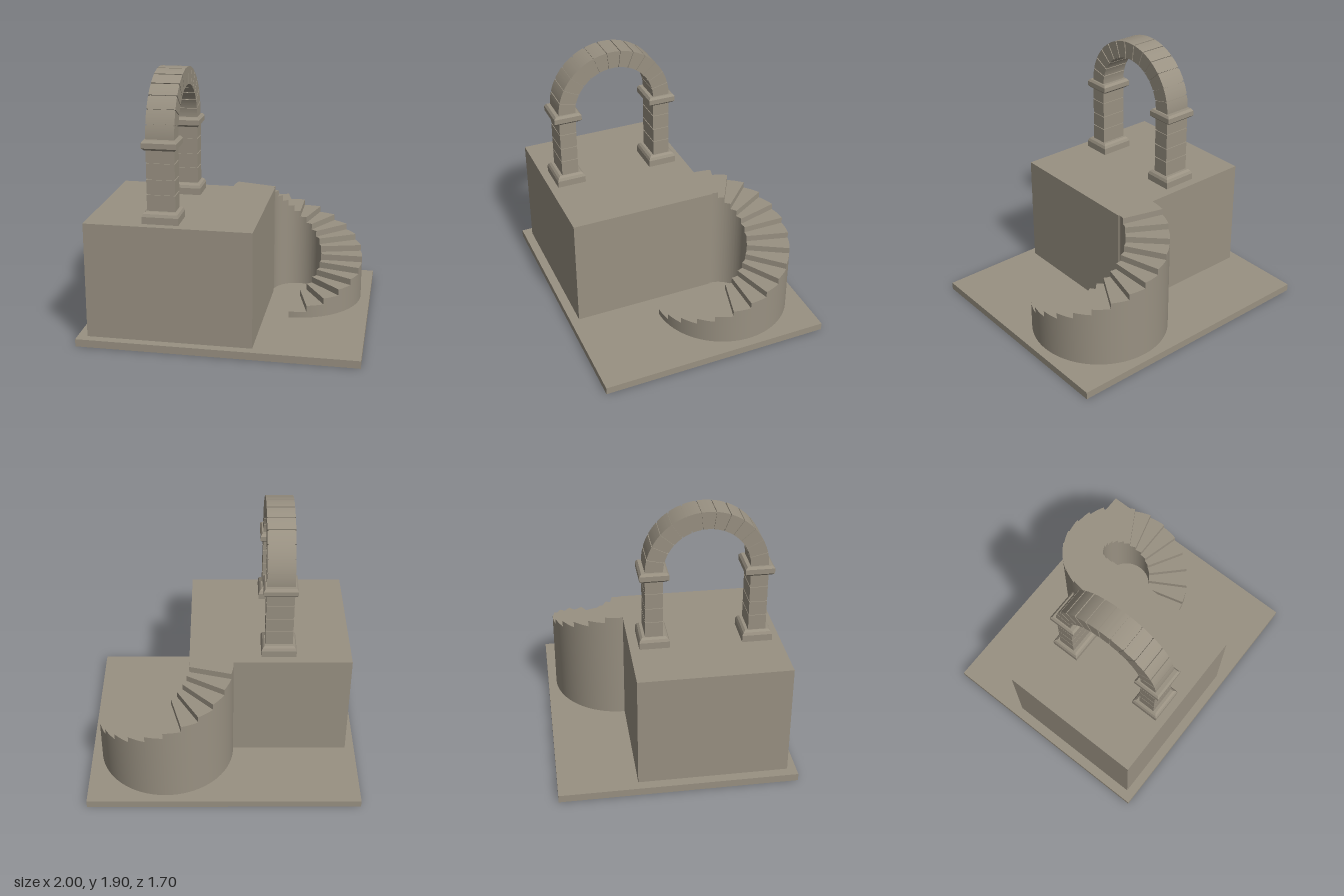
import * as THREE from 'three';
import { toCreasedNormals } from 'three/addons/utils/BufferGeometryUtils.js';

const stone = new THREE.MeshStandardMaterial({ color: 0x999182 });
stone.name = 'warm grey stone';

function add(parent, geometry, name) {
  const mesh = new THREE.Mesh(geometry, stone);
  mesh.name = name;
  parent.add(mesh);
  return mesh;
}

// Box given by its minimum and maximum corners
function box(parent, name, [x0, y0, z0], [x1, y1, z1]) {
  const mesh = add(parent, new THREE.BoxGeometry(x1 - x0, y1 - y0, z1 - z0), name);
  mesh.position.set((x0 + x1) / 2, (y0 + y1) / 2, (z0 + z1) / 2);
  return mesh;
}

// Rectangular moulding from stacked rings [y, half width x, half depth z]
function moulding(rings) {
  const corner = ([y, hx, hz], k) => [[-hx, y, hz], [hx, y, hz], [hx, y, -hz], [-hx, y, -hz]][k % 4];
  const p = [];
  const quad = (a, b, c, d) => p.push(...a, ...b, ...c, ...a, ...c, ...d);
  for (let i = 0; i < rings.length - 1; i++) {
    for (let k = 0; k < 4; k++) {
      quad(corner(rings[i], k), corner(rings[i], k + 1), corner(rings[i + 1], k + 1), corner(rings[i + 1], k));
    }
  }
  const low = rings[0], top = rings[rings.length - 1];
  quad(...[0, 1, 2, 3].map(k => corner(top, k)));
  quad(...[3, 2, 1, 0].map(k => corner(low, k)));
  const g = new THREE.BufferGeometry();
  g.setAttribute('position', new THREE.Float32BufferAttribute(p, 3));
  g.computeVertexNormals();
  return g;
}

// Extruded ring sector between two radii and two angles
function sector(r0, r1, a0, a1, depth, segments) {
  const s = new THREE.Shape();
  s.absarc(0, 0, r1, a0, a1, false);
  s.absarc(0, 0, r0, a1, a0, true);
  const g = new THREE.ExtrudeGeometry(s, { depth, bevelEnabled: false, curveSegments: segments });
  return toCreasedNormals(g, 0.4);
}

export function createModel() {
  const model = new THREE.Group();
  model.name = 'stoneArchAndStair';
  const FLOOR = 0.055, DECK = 0.895;

  box(model, 'groundSlab', [-1, 0, -0.85], [1, FLOOR, 0.85]);
  box(model, 'platform', [-0.93, FLOOR, -0.286], [0.25, DECK, 0.785]);

  // Curved stair: eighteen solid steps over three quarters of a turn
  const stair = new THREE.Group();
  stair.name = 'curvedStair';
  stair.position.set(0.43, FLOOR, -0.286);
  model.add(stair);
  const STEPS = 18, turn = Math.PI / 12, rise = (DECK - FLOOR) / STEPS;
  for (let i = 0; i < STEPS; i++) {
    const a = -Math.PI / 2 + i * turn;
    const g = sector(0.187, 0.5, a, a + turn, rise * (i + 1), 5);
    g.rotateX(-Math.PI / 2);
    add(stair, g, 'step' + (i + 1));
  }

  // Archway standing on the platform
  const arch = new THREE.Group();
  arch.name = 'archway';
  arch.position.set(-0.4, 0, 0.252);
  model.add(arch);
  const IN = 0.302, OUT = 0.427, HALF = 0.1, SPRING = 1.476;
  const GAP = 0.008, RECESS = 0.007;
  const mid = (IN + OUT) / 2, hz = (OUT - IN) / 2;

  for (const side of [-1, 1]) {
    const pillar = new THREE.Group();
    pillar.name = side > 0 ? 'frontPillar' : 'backPillar';
    pillar.position.z = side * mid;
    arch.add(pillar);
    add(pillar, moulding([[DECK, 0.128, 0.107], [0.945, 0.128, 0.107],
      [0.965, 0.119, 0.098], [0.978, 0.105, 0.083]]), 'pillarBase');
    add(pillar, moulding([[1.408, 0.104, 0.082], [1.425, 0.122, 0.102],
      [1.462, 0.122, 0.102], [1.479, 0.11, 0.088]]), 'impost');
    // Blocks separated by recessed joints
    const joints = [0.974, 1.095, 1.202, 1.317, 1.415];
    for (let i = 0; i < 4; i++) {
      box(pillar, 'pillarBlock', [-HALF, joints[i] + GAP / 2, -hz], [HALF, joints[i + 1] - GAP / 2, hz]);
    }
    box(pillar, 'pillarCore', [-HALF + RECESS, 0.97, -hz + RECESS], [HALF - RECESS, 1.42, hz - RECESS]);
  }

  // Thirteen wedge stones around a recessed core
  const ringPart = (r0, r1, a0, a1, half, segments, name) => {
    const g = sector(r0, r1, a0, a1, half * 2, segments);
    g.rotateY(-Math.PI / 2);
    g.translate(half, SPRING, 0);
    add(arch, g, name);
  };
  const STONES = 13, span = Math.PI / STONES, cut = GAP / 2 / mid;
  for (let i = 0; i < STONES; i++) {
    ringPart(IN, OUT, i * span + cut, (i + 1) * span - cut, HALF, 5, 'archStone' + (i + 1));
  }
  ringPart(IN + RECESS, OUT - RECESS, 0, Math.PI, HALF - RECESS, 52, 'archCore');

  return model;
}
